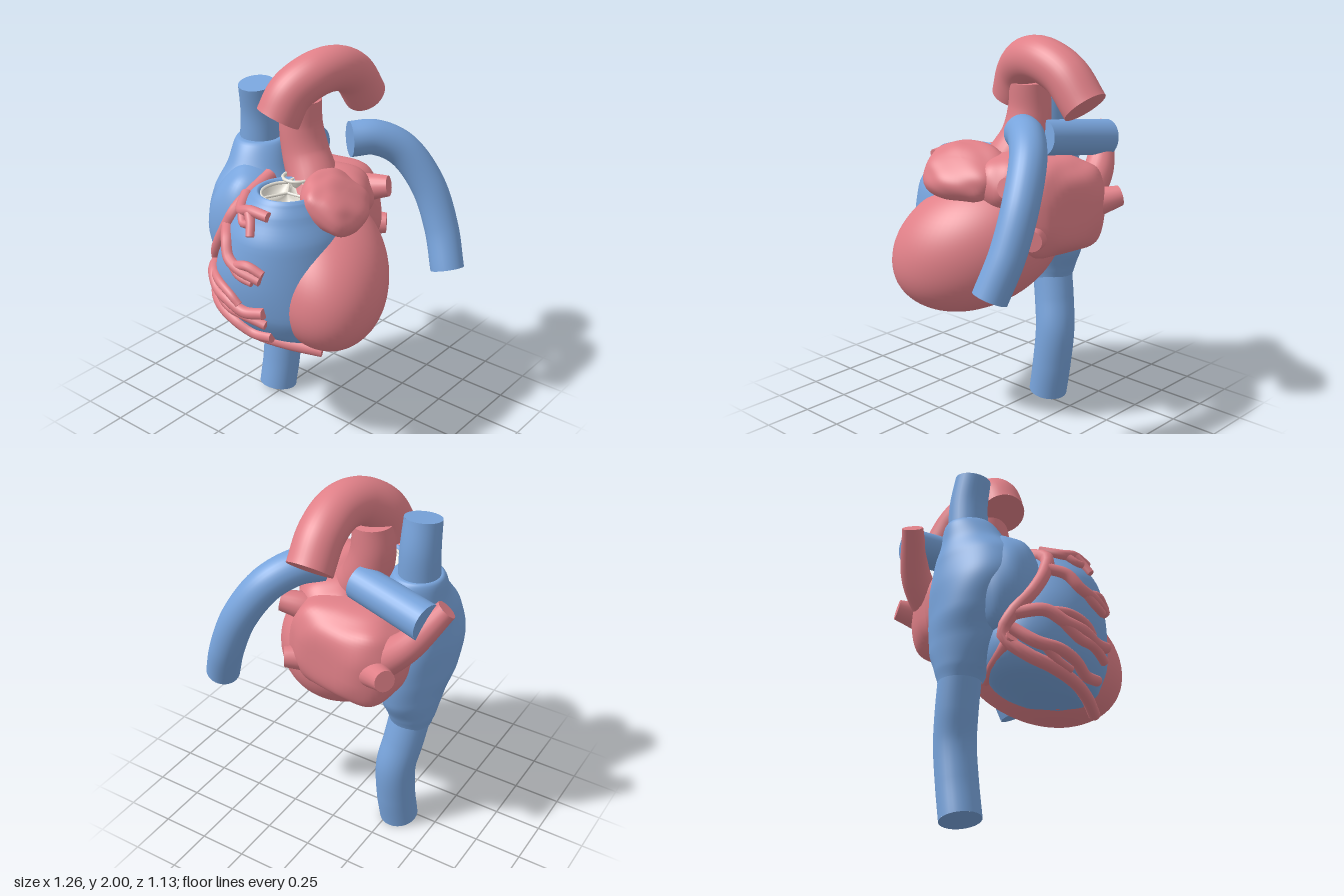
import * as THREE from 'three';

const RED = 0xe08088, BLUE = 0x78a4dc, IVORY = 0xe8e4da;
const V = (p) => new THREE.Vector3(...p);

function material(color, side = THREE.FrontSide) {
  const m = new THREE.MeshStandardMaterial({ side });
  m.color.set(color);
  return m;
}

function addMesh(parent, name, geometry, color, side) {
  const mesh = new THREE.Mesh(geometry, material(color, side));
  mesh.name = name;
  parent.add(mesh);
  return mesh;
}

// Smooth body through horizontal ovals [y, cx, cz, rx, rz]
function loft(sections, bump = 0, rows = 60, n = 72) {
  const centre = new THREE.CatmullRomCurve3(sections.map(([y, x, z]) => V([x, y, z])));
  const size = new THREE.CatmullRomCurve3(sections.map((s) => V([s[3], s[4], 0])), false, 'catmullrom', 0.4);
  const pos = [], index = [];
  for (let i = 0; i <= rows; i++) {
    const c = centre.getPoint(i / rows), r = size.getPoint(i / rows);
    for (let j = 0; j < n; j++) {
      const a = (j / n) * Math.PI * 2;
      const k = 1 + bump * Math.sin(4 * a + 9 * c.y) * Math.sin(i / rows * Math.PI);
      pos.push(c.x + r.x * k * Math.cos(a), c.y, c.z + r.y * k * Math.sin(a));
      if (i === rows) continue;
      const p = i * n + j, q = i * n + (j + 1) % n;
      index.push(p, p + n, q, q, p + n, q + n);
    }
  }
  const g = new THREE.BufferGeometry();
  g.setAttribute('position', new THREE.Float32BufferAttribute(pos, 3));
  g.setIndex(index);
  g.computeVertexNormals();
  return g;
}

// Rounded lump: sphere, optionally squarer (power < 1) and gently rippled
function lump(matrix, power = 1, ripple = 0) {
  const g = new THREE.SphereGeometry(1, 56, 40), p = g.attributes.position;
  const soft = (v) => Math.sign(v) * Math.abs(v) ** power;
  for (let i = 0; i < p.count; i++) {
    const x = p.getX(i), y = p.getY(i), z = p.getZ(i);
    const k = 1 + ripple * Math.sin(6 * x + 2 * z) * Math.sin(5 * z + 1) * Math.cos(4 * y + x);
    p.setXYZ(i, soft(x) * k, soft(y) * k, soft(z) * k);
  }
  g.applyMatrix4(matrix);
  g.computeVertexNormals();
  return g;
}

const place = (pos, scale, rot = [0, 0, 0]) => new THREE.Matrix4().compose(
  V(pos), new THREE.Quaternion().setFromEuler(new THREE.Euler(...rot)), V(scale));

// Vessel with flat cut ends, tapering from r0 to r1
function vessel(parent, name, points, r0, r1, color, segs = 40, sides = 28) {
  const group = new THREE.Group();
  group.name = name;
  parent.add(group);
  const curve = new THREE.CatmullRomCurve3(points.map((p) => (p.isVector3 ? p : V(p))));
  const g = new THREE.TubeGeometry(curve, segs, 1, sides), p = g.attributes.position, v = new THREE.Vector3();
  for (let i = 0; i < p.count; i++) {
    const t = Math.floor(i / (sides + 1)) / segs, c = curve.getPointAt(t);
    v.fromBufferAttribute(p, i).sub(c).multiplyScalar(r0 + (r1 - r0) * t).add(c);
    p.setXYZ(i, v.x, v.y, v.z);
  }
  addMesh(group, name + 'Wall', g, color);
  for (const [t, r, s] of [[0, r0, -1], [1, r1, 1]]) {
    const cap = addMesh(group, name + 'Cut', new THREE.CircleGeometry(r, sides), color);
    cap.position.copy(curve.getPointAt(t));
    cap.quaternion.setFromUnitVectors(V([0, 0, 1]), curve.getTangentAt(t).multiplyScalar(s));
  }
}

// Valve of three cupped leaflets with ridges between them and a rim
function valve(parent, name, pos, R, turn) {
  const group = new THREE.Group();
  group.name = name;
  const g = new THREE.RingGeometry(0.001, R, 72, 14), p = g.attributes.position;
  g.rotateX(-Math.PI / 2);
  for (let i = 0; i < p.count; i++) {
    const x = p.getX(i), z = p.getZ(i), r = Math.hypot(x, z) / R;
    const cup = Math.sqrt(Math.abs(Math.sin(1.5 * Math.atan2(z, x))));
    p.setY(i, -0.07 * cup * Math.sin(Math.PI * Math.min(1, r)) ** 0.7);
  }
  g.computeVertexNormals();
  addMesh(group, 'leaflets', g, IVORY, THREE.DoubleSide);
  for (let k = 0; k < 3; k++) {
    const ridge = addMesh(group, 'leafletRidge', new THREE.CapsuleGeometry(0.007, R, 4, 8), IVORY);
    const a = (k * 2 * Math.PI) / 3;
    ridge.position.set(Math.cos(a) * R / 2, 0, Math.sin(a) * R / 2);
    ridge.rotation.set(0, -a, Math.PI / 2, 'YXZ');
  }
  const rim = addMesh(group, 'valveRim', new THREE.TorusGeometry(R, 0.009, 8, 48), IVORY);
  rim.rotation.x = Math.PI / 2;
  group.position.set(...pos);
  group.rotation.y = turn;
  parent.add(group);
}

export function createModel() {
  const heart = new THREE.Group();
  heart.name = 'heart';

  // Chambers
  const rightVentricle = addMesh(heart, 'rightVentricle', loft([
    [0.62, 0.10, 0.22, 0.01, 0.01], [0.64, 0.06, 0.22, 0.17, 0.14], [0.70, 0, 0.22, 0.31, 0.235],
    [0.82, -0.02, 0.23, 0.36, 0.285], [1.0, -0.02, 0.22, 0.34, 0.315], [1.2, 0.005, 0.2, 0.285, 0.31],
    [1.33, 0.01, 0.2, 0.22, 0.245], [1.39, 0.02, 0.22, 0.17, 0.18], [1.405, 0.025, 0.23, 0.145, 0.15],
    [1.39, 0.025, 0.23, 0.13, 0.135], [1.3, 0.025, 0.23, 0.13, 0.135],
  ]), BLUE, THREE.DoubleSide);
  const rightAtrium = addMesh(heart, 'rightAtrium', loft([
    [0.68, -0.345, -0.03, 0.108, 0.108], [0.74, -0.345, -0.02, 0.125, 0.14], [0.86, -0.33, 0, 0.16, 0.21],
    [1.0, -0.30, 0.04, 0.222, 0.26], [1.15, -0.30, 0.07, 0.232, 0.28], [1.3, -0.305, 0.06, 0.205, 0.25],
    [1.42, -0.32, 0.03, 0.16, 0.18], [1.53, -0.34, 0.01, 0.117, 0.12], [1.535, -0.34, 0.01, 0.005, 0.005],
  ], 0.025), BLUE);
  const rightAuricle = addMesh(heart, 'rightAuricle',
    lump(place([-0.285, 1.15, 0.17], [0.19, 0.29, 0.21], [-0.1, 0, -0.15]), 0.95, 0.03), BLUE);
  // Sheared sphere: the apex leans down, forward and to the left
  const leftVentricle = addMesh(heart, 'leftVentricle', lump(new THREE.Matrix4().set(
    0.38, 0, 0, 0.13,
    -0.08, 0.341, 0, 0.95,
    0.112, -0.046, 0.36, 0.07,
    0, 0, 0, 1), 0.97), RED);
  addMesh(heart, 'leftAtrium',
    lump(place([-0.1, 1.15, -0.19], [0.31, 0.25, 0.235], [0, -0.1, 0.08]), 0.7, 0.04), RED);
  addMesh(heart, 'leftAtriumRoof', lump(place([0.06, 1.28, -0.1], [0.2, 0.16, 0.18]), 1, 0.04), RED);
  addMesh(heart, 'leftAuricle',
    lump(place([0.2, 1.335, 0.075], [0.175, 0.1, 0.215], [0, 0.35, -0.62]), 0.85, 0.05), RED);

  // Great vessels
  vessel(heart, 'inferiorVenaCava',
    [[-0.3, 0.02, -0.05], [-0.295, 0.2, -0.08], [-0.3, 0.4, -0.095], [-0.325, 0.56, -0.065], [-0.345, 0.72, -0.03]],
    0.103, 0.106, BLUE);
  vessel(heart, 'superiorVenaCava', [[-0.345, 1.5, 0.005], [-0.345, 1.66, 0.005], [-0.342, 1.81, 0.03]], 0.105, 0.092, BLUE);
  vessel(heart, 'aorticArch',
    [[-0.16, 1.68, 0.08], [-0.128, 1.8, 0.02], [-0.075, 1.875, -0.09], [-0.045, 1.885, -0.22],
      [-0.04, 1.825, -0.36], [-0.045, 1.69, -0.475]], 0.115, 0.112, RED, 56, 36);
  vessel(heart, 'ascendingAorta',
    [[-0.12, 1.76, -0.055], [-0.125, 1.62, -0.055], [-0.09, 1.48, -0.05], [-0.02, 1.36, -0.02], [0.02, 1.26, 0.02]],
    0.1, 0.14, RED);
  vessel(heart, 'leftPulmonaryArtery',
    [[0.08, 1.55, -0.19], [0.16, 1.55, -0.29], [0.26, 1.48, -0.39], [0.38, 1.3, -0.455], [0.475, 1.08, -0.46], [0.55, 0.88, -0.42]],
    0.09, 0.087, BLUE, 56);
  vessel(heart, 'rightPulmonaryArtery', [[-0.52, 1.44, -0.24], [-0.32, 1.465, -0.2], [-0.11, 1.49, -0.16]], 0.094, 0.09, BLUE);

  // Pulmonary veins entering the left atrium
  [
    ['rightUpperVein', [-0.3, 1.17, -0.28], [-0.44, 1.3, -0.26], [-0.58, 1.49, -0.16]],
    ['rightLowerVein', [-0.2, 1.13, -0.3], [-0.33, 1.16, -0.37], [-0.41, 1.18, -0.42]],
    ['leftUpperVein', [0.05, 1.25, -0.17], [0.17, 1.3, -0.23], [0.27, 1.32, -0.27]],
    ['leftLowerVein', [0.0, 1.07, -0.25], [0.12, 1.06, -0.31], [0.2, 1.06, -0.36]],
  ].forEach(([name, ...path]) => vessel(heart, name, path, 0.095, 0.053, RED, 20, 20));

  // Valves
  valve(heart, 'pulmonaryValve', [0.025, 1.385, 0.23], 0.13, 0.1);
  valve(heart, 'aorticValve', [-0.045, 1.4, 0.075], 0.07, 0.6);

  // Coronary arteries, draped on the front of the chambers
  const chambers = [rightVentricle, rightAtrium, rightAuricle, leftVentricle];
  heart.updateMatrixWorld(true);
  const ray = new THREE.Raycaster();
  const drape = (path) => path.map(([x, y]) => {
    ray.set(V([x, y, 2]), V([0, 0, -1]));
    const hit = ray.intersectObjects(chambers)[0];
    return V([x, y, hit ? hit.point.z + 0.012 : 0.2]);
  });
  [
    [0.036, [-0.165, 1.4], [-0.175, 1.3], [-0.22, 1.2], [-0.3, 1.06], [-0.37, 0.94], [-0.38, 0.84], [-0.31, 0.74],
      [-0.2, 0.7], [-0.04, 0.67], [0.12, 0.65], [0.3, 0.63]],
    [0.03, [-0.16, 1.36], [-0.1, 1.33], [-0.03, 1.35], [0.08, 1.345]],
    [0.025, [-0.03, 1.34], [0.0, 1.3], [0.02, 1.25]],
    [0.022, [-0.09, 1.33], [-0.05, 1.29], [0.0, 1.3]],
    [0.032, [-0.21, 1.21], [-0.15, 1.18], [-0.1, 1.11], [-0.02, 1.08], [0.1, 1.05]],
    [0.026, [-0.05, 1.09], [0.03, 1.11], [0.11, 1.08]],
    [0.024, [-0.08, 1.1], [-0.02, 1.05], [0.06, 1.03]],
    [0.034, [-0.36, 0.94], [-0.28, 0.95], [-0.2, 0.9], [-0.1, 0.88], [0, 0.85], [0.11, 0.87]],
    [0.028, [-0.22, 0.91], [-0.12, 0.84], [-0.02, 0.83], [0.11, 0.8]],
    [0.024, [-0.28, 0.95], [-0.18, 0.95], [-0.08, 0.92], [-0.03, 0.88]],
    [0.032, [-0.37, 0.86], [-0.3, 0.79], [-0.2, 0.77], [-0.1, 0.74], [0, 0.7], [0.11, 0.71]],
    [0.024, [-0.28, 0.79], [-0.2, 0.73], [-0.1, 0.7]],
  ].forEach(([r, ...path], i) =>
    vessel(heart, i ? 'coronaryBranch' : 'rightCoronaryArtery', drape(path), r, r * 0.85, RED, 36, 12));
  vessel(heart, 'posteriorCoronaryArtery',
    [[-0.37, 0.82, 0.32], [-0.31, 0.75, 0.16], [-0.2, 0.74, 0.02], [-0.11, 0.8, -0.1]], 0.033, 0.028, RED, 30, 12);

  return heart;
}
